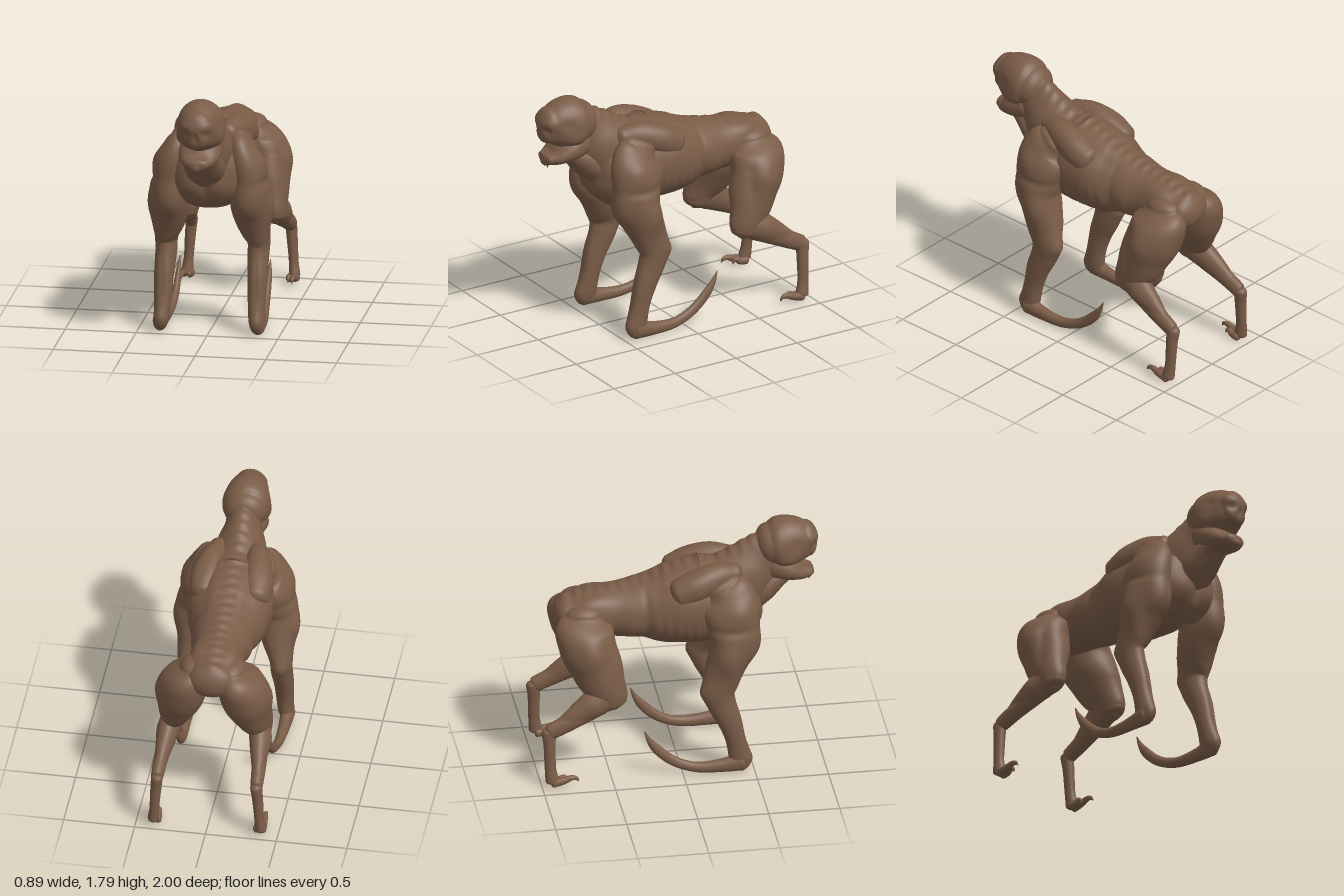
import * as THREE from 'three';

const skin = new THREE.MeshStandardMaterial({ color: 0x7a5c47 });
skin.name = 'brownSkin';

// Smooth closed skin through elliptical sections [x, y, z, halfWidth, halfDepth], with rounded ends.
// Bumps [x, y, z, rx, ry, rz, height] swell or dent the skin along its normals, alike on both sides.
function loft(name, sections, { side = 1, steps = 9, sides = 36, bumps = [] } = {}) {
  const centres = new THREE.CatmullRomCurve3(sections.map(s => new THREE.Vector3(s[0] * side, s[1], s[2])), false, 'catmullrom');
  const radii = new THREE.CatmullRomCurve3(sections.map(s => new THREE.Vector3(s[3], s[4], 0)), false, 'catmullrom');
  const n = (sections.length - 1) * steps;
  const rings = [];
  const ring = (t, angle, dir) => {
    const tangent = centres.getTangent(t).setX(0).normalize();
    const r = radii.getPoint(t);
    const c = centres.getPoint(t).addScaledVector(tangent, dir * Math.sin(angle) * Math.min(r.x, r.y) * 0.7);
    const k = Math.cos(angle);
    rings.push({ c, tangent, rx: r.x * k, rv: r.y * k });
  };
  for (let i = 8; i > 0; i--) ring(0, i * 0.195, -1);
  for (let i = 0; i <= n; i++) ring(i / n, 0, 0);
  for (let i = 1; i <= 8; i++) ring(1, i * 0.195, 1);

  const pos = [], idx = [];
  const u = new THREE.Vector3(1, 0, 0);
  rings.forEach(({ c, tangent, rx, rv }, i) => {
    const v = tangent.clone().cross(u);
    for (let j = 0; j < sides; j++) {
      const a = (j / sides) * Math.PI * 2;
      const p = c.clone().addScaledVector(u, Math.cos(a) * rx).addScaledVector(v, Math.sin(a) * rv);
      pos.push(p.x, p.y, p.z);
      if (i === rings.length - 1) continue;
      const k = (j + 1) % sides, b = i * sides, d = b + sides;
      idx.push(b + j, b + k, d + k, b + j, d + k, d + j);
    }
  });
  const g = new THREE.BufferGeometry();
  g.setAttribute('position', new THREE.Float32BufferAttribute(pos, 3));
  g.setIndex(idx);
  g.computeVertexNormals();

  const p = g.attributes.position, normal = g.attributes.normal;
  for (let i = 0; i < p.count; i++) {
    const x = p.getX(i), y = p.getY(i), z = p.getZ(i);
    let h = 0;
    for (const [bx, by, bz, rx, ry, rz, height] of bumps)
      h += height * Math.exp(-(((Math.abs(x) - bx) / rx) ** 2) - ((y - by) / ry) ** 2 - ((z - bz) / rz) ** 2);
    p.setXYZ(i, x + normal.getX(i) * h, y + normal.getY(i) * h, z + normal.getZ(i) * h);
  }
  g.computeVertexNormals();
  const mesh = new THREE.Mesh(g, skin);
  mesh.name = name;
  return mesh;
}

function torso() {
  const bumps = [
    [0.24, 1.3, 0.0, 0.08, 0.12, 0.1, 0.015],     // broad back muscle
    [0.09, 1.42, -0.08, 0.045, 0.1, 0.22, 0.014], // muscle beside the spine
    [0.13, 1.4, 0.52, 0.04, 0.12, 0.1, 0.02],     // neck muscle
    [0.17, 1.1, -0.33, 0.1, 0.13, 0.06, 0.016],   // flank
    [0.2, 1.2, -0.23, 0.1, 0.2, 0.025, -0.01],    // edge of the rib cage
    [0.13, 1.3, -0.6, 0.07, 0.08, 0.12, 0.022],   // hip crest
  ];
  for (let i = 0; i < 5; i++) bumps.push([0.2, 1.06 + i * 0.01, 0.12 - i * 0.07, 0.15, 0.1, 0.022, 0.009]); // ribs
  const spine = new THREE.CatmullRomCurve3([[1.68, 0.6], [1.59, 0.45], [1.555, 0.3], [1.51, 0.1], [1.445, -0.1],
    [1.39, -0.27], [1.35, -0.45], [1.325, -0.62], [1.29, -0.78]].map(([y, z]) => new THREE.Vector3(0, y, z)));
  for (let i = 0; i <= 18; i++) {                 // vertebrae
    const p = spine.getPointAt(i / 18);
    bumps.push([0, p.y, p.z, 0.055, 0.06, 0.026, 0.017]);
  }
  return loft('torso', [
    [0, 1.565, 0.72, 0.115, 0.165], [0, 1.475, 0.6, 0.13, 0.2], [0, 1.375, 0.48, 0.18, 0.23],
    [0, 1.285, 0.37, 0.235, 0.28], [0, 1.225, 0.24, 0.28, 0.32], [0, 1.205, 0.1, 0.295, 0.302],
    [0, 1.18, -0.08, 0.275, 0.268], [0, 1.18, -0.25, 0.222, 0.218], [0, 1.17, -0.45, 0.19, 0.188],
    [0, 1.165, -0.65, 0.19, 0.168], [0, 1.18, -0.78, 0.16, 0.125]], { steps: 14, sides: 72, bumps });
}

// Deep chest filling the space between the arms, with a furrow down the breastbone
function chest() {
  return loft('chest', [
    [0, 1.4, 0.46, 0.15, 0.1], [0, 1.29, 0.47, 0.22, 0.125], [0, 1.17, 0.465, 0.255, 0.135],
    [0, 1.07, 0.445, 0.24, 0.13], [0, 1.0, 0.41, 0.2, 0.1]], {
    steps: 12, sides: 64, bumps: [[0, 1.12, 0.6, 0.025, 0.12, 0.1, -0.02], [0.11, 1.1, 0.56, 0.07, 0.07, 0.08, 0.015]] });
}

function head() {
  const g = new THREE.Group();
  g.name = 'head';
  g.add(loft('skull', [
    [0, 1.628, 0.92, 0.115, 0.128], [0, 1.622, 0.86, 0.143, 0.163], [0, 1.613, 0.78, 0.163, 0.184],
    [0, 1.605, 0.71, 0.168, 0.178], [0, 1.6, 0.66, 0.15, 0.147]], {
    steps: 14, sides: 64, bumps: [
      [0.075, 1.6, 0.96, 0.035, 0.03, 0.08, -0.02],  // eye sockets
      [0, 1.575, 0.98, 0.022, 0.03, 0.08, -0.018],   // nose hollow
      [0.06, 1.66, 0.94, 0.06, 0.025, 0.06, 0.008],  // brow
      [0, 1.52, 0.92, 0.09, 0.03, 0.07, 0.016],      // upper jaw
      [0.14, 1.52, 0.78, 0.06, 0.05, 0.08, 0.02],    // cheeks
      [0.16, 1.64, 0.84, 0.05, 0.04, 0.05, -0.01],   // temples
    ] }));
  g.add(loft('lowerJaw', [
    [0, 1.375, 0.935, 0.085, 0.048], [0, 1.385, 0.87, 0.125, 0.066], [0, 1.42, 0.78, 0.148, 0.1],
    [0, 1.46, 0.69, 0.14, 0.125]], {
    steps: 10, sides: 48, bumps: [
      [0, 1.345, 0.96, 0.03, 0.025, 0.05, 0.015],    // chin
      [0, 1.43, 0.92, 0.06, 0.02, 0.06, -0.015],     // mouth hollow
    ] }));
  g.add(loft('throat', [[0, 1.38, 0.78, 0.1, 0.06], [0, 1.34, 0.69, 0.125, 0.095], [0, 1.27, 0.6, 0.145, 0.11], [0, 1.18, 0.53, 0.13, 0.09]]));
  // Small spikes below the chin
  for (const side of [1, -1]) {
    const spike = new THREE.Mesh(new THREE.ConeGeometry(0.012, 0.06, 10), skin);
    spike.name = 'chinSpike';
    spike.position.set(0.02 * side, 1.325, 0.94);
    spike.rotation.x = Math.PI + 0.3;
    g.add(spike);
  }
  return g;
}

function foreLimb(side) {
  const g = new THREE.Group();
  g.name = side > 0 ? 'leftForeLimb' : 'rightForeLimb';
  g.add(loft('shoulderBlade', [
    [0.13, 1.455, 0.4, 0.075, 0.075], [0.16, 1.445, 0.27, 0.095, 0.105], [0.18, 1.405, 0.13, 0.11, 0.115],
    [0.185, 1.35, 0.01, 0.1, 0.11]], { side, bumps: [[0.2, 1.48, 0.12, 0.03, 0.05, 0.1, -0.01]] }));
  g.add(loft('arm', [
    [0.195, 1.39, 0.29, 0.08, 0.14], [0.225, 1.33, 0.325, 0.108, 0.19], [0.255, 1.24, 0.35, 0.128, 0.2],
    [0.275, 1.12, 0.365, 0.133, 0.185], [0.28, 1, 0.37, 0.138, 0.172], [0.287, 0.88, 0.33, 0.135, 0.15],
    [0.3, 0.75, 0.28, 0.108, 0.13], [0.325, 0.64, 0.25, 0.08, 0.115], [0.325, 0.54, 0.272, 0.075, 0.103],
    [0.33, 0.4, 0.33, 0.069, 0.088], [0.33, 0.25, 0.372, 0.062, 0.073], [0.335, 0.1, 0.4, 0.055, 0.078],
    [0.345, 0.045, 0.385, 0.045, 0.065]], {
    side, sides: 48, bumps: [
      [0.36, 1.25, 0.4, 0.1, 0.08, 0.08, 0.015],     // shoulder cap
      [0.27, 1.39, 0.25, 0.08, 0.06, 0.07, 0.015],   // rear of shoulder
      [0.41, 1.12, 0.33, 0.1, 0.03, 0.2, -0.012],    // furrow under the shoulder
      [0.42, 0.94, 0.3, 0.06, 0.13, 0.09, 0.028],    // outer arm
      [0.27, 0.97, 0.5, 0.08, 0.1, 0.07, 0.02],      // front of arm
      [0.36, 0.98, 0.43, 0.04, 0.14, 0.04, -0.014],  // furrow between them
      [0.37, 0.72, 0.36, 0.06, 0.1, 0.05, 0.014],    // upper forearm
      [0.33, 0.63, 0.14, 0.06, 0.05, 0.05, 0.016],   // elbow
      [0.33, 0.38, 0.42, 0.02, 0.2, 0.06, -0.008],   // forearm furrow
      [0.34, 0.1, 0.47, 0.05, 0.05, 0.04, 0.012],    // wrist
    ] }));
  // Long curved blade sweeping back and up from the wrist
  g.add(loft('blade', [
    [0.345, 0.075, 0.41, 0.052, 0.07], [0.345, 0.055, 0.28, 0.042, 0.05], [0.338, 0.048, 0.12, 0.033, 0.039],
    [0.328, 0.075, 0, 0.029, 0.036], [0.322, 0.13, -0.1, 0.026, 0.036], [0.32, 0.21, -0.185, 0.022, 0.034],
    [0.32, 0.28, -0.235, 0.015, 0.02], [0.32, 0.352, -0.268, 0.003, 0.004]], { side, sides: 24 }));
  return g;
}

function hindLimb(side) {
  const g = new THREE.Group();
  g.name = side > 0 ? 'leftHindLimb' : 'rightHindLimb';
  g.add(loft('thigh', [
    [0.13, 1.215, -0.665, 0.1, 0.13], [0.185, 1.13, -0.668, 0.16, 0.192], [0.22, 1, -0.655, 0.175, 0.195],
    [0.24, 0.88, -0.61, 0.158, 0.18], [0.27, 0.78, -0.57, 0.128, 0.165], [0.3, 0.68, -0.52, 0.095, 0.13],
    [0.31, 0.61, -0.5, 0.078, 0.1]], {
    side, sides: 48, bumps: [
      [0.18, 1.13, -0.84, 0.09, 0.09, 0.07, 0.015],  // buttock
      [0.4, 1.0, -0.64, 0.07, 0.14, 0.08, 0.016],    // outer thigh
      [0.3, 0.95, -0.45, 0.09, 0.16, 0.06, 0.015],   // front of thigh
      [0.37, 0.95, -0.53, 0.05, 0.2, 0.03, -0.012],  // furrow between them
      [0.31, 0.64, -0.4, 0.06, 0.06, 0.05, 0.012],   // knee
      [0.12, 1.0, -0.82, 0.06, 0.12, 0.06, 0.01],    // back of thigh
    ] }));
  g.add(loft('shank', [
    [0.31, 0.635, -0.48, 0.072, 0.085], [0.315, 0.628, -0.58, 0.077, 0.107], [0.33, 0.56, -0.7, 0.066, 0.092],
    [0.345, 0.482, -0.82, 0.05, 0.068], [0.35, 0.425, -0.93, 0.044, 0.058]], {
    side, bumps: [[0.37, 0.6, -0.63, 0.05, 0.06, 0.07, 0.014], [0.36, 0.52, -0.78, 0.05, 0.02, 0.1, -0.008]] }));
  g.add(loft('lowerLeg', [
    [0.35, 0.42, -0.945, 0.04, 0.046], [0.36, 0.3, -0.943, 0.038, 0.042], [0.37, 0.15, -0.94, 0.034, 0.04],
    [0.378, 0.055, -0.928, 0.04, 0.048]], { side, bumps: [[0.35, 0.41, -0.98, 0.04, 0.05, 0.04, 0.008]] }));
  // Hooked toe and a shorter one beside it
  for (const [x, len, lift] of [[0.39, 1, 0], [0.35, 0.6, -0.012]]) {
    const z = d => -0.92 + d * len;
    g.add(loft('toe', [
      [x, 0.035, z(0), 0.028, 0.03], [x, 0.05 + lift, z(0.07), 0.024, 0.027], [x, 0.068 + lift, z(0.125), 0.018, 0.02],
      [x, 0.062 + lift, z(0.16), 0.012, 0.014], [x, 0.037 + lift, z(0.178), 0.002, 0.002]], { side, steps: 5, sides: 16 }));
  }
  return g;
}

export function createModel() {
  const model = new THREE.Group();
  model.name = 'creature';
  model.add(torso(), chest(), head());
  for (const side of [1, -1]) model.add(foreLimb(side), hindLimb(side));
  return model;
}
